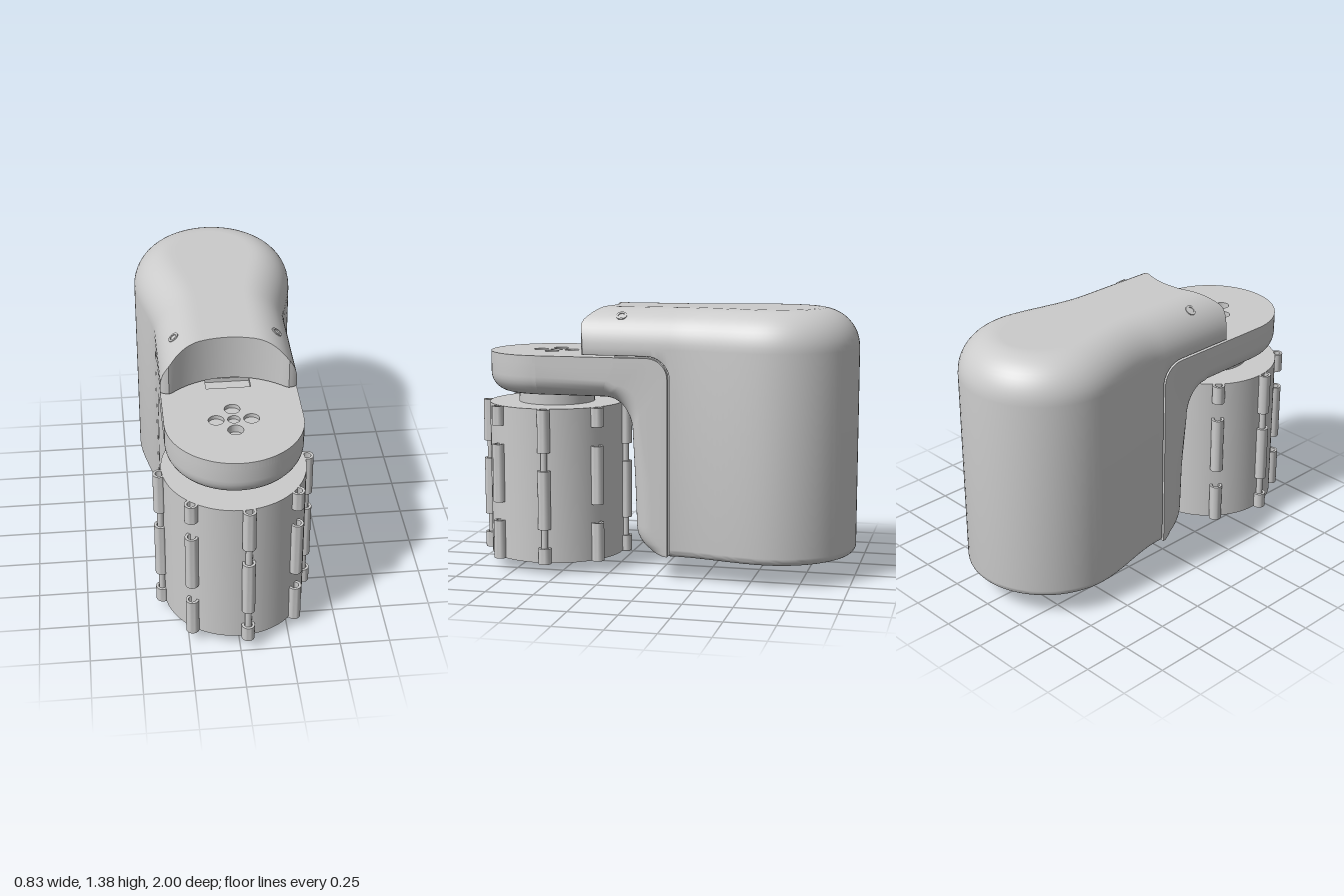
import * as THREE from 'three';
import { toCreasedNormals, mergeGeometries } from 'three/addons/utils/BufferGeometryUtils.js';

const grey = new THREE.MeshStandardMaterial({ color: 0xcccccc, side: THREE.DoubleSide });
const V = (x, y, z) => new THREE.Vector3(x, y, z);
const lerp = THREE.MathUtils.lerp;
const steps = (n) => Array.from({ length: n + 1 }, (_, i) => i / n);

function part(parent, name, geometry, x = 0, y = 0, z = 0) {
  const mesh = new THREE.Mesh(geometry, grey);
  mesh.name = name;
  mesh.position.set(x, y, z);
  parent.add(mesh);
  return mesh;
}

// Surface through rows of points; skip lists row gaps to leave open
function grid(rows, skip = []) {
  const n = rows[0].length, index = [];
  for (let i = 0; i < rows.length - 1; i++) {
    if (skip.includes(i)) continue;
    for (let j = 0; j < n - 1; j++) {
      const a = i * n + j, d = a + n;
      index.push(a, a + 1, d + 1, a, d + 1, d);
    }
  }
  const g = new THREE.BufferGeometry().setFromPoints(rows.flat());
  g.setIndex(index);
  return g;
}

const lathe = (pts, seg = 48, start = 0, len = Math.PI * 2) =>
  toCreasedNormals(new THREE.LatheGeometry(pts.map((p) => new THREE.Vector2(...p)), seg, start, len), 0.6);
const ring = (ro, ri, y0, y1, seg = 24) => lathe([[ri, y0], [ro, y0], [ro, y1], [ri, y1], [ri, y0]], seg);

// Rear housing: rounded shell with a hood reaching forward
const BACK = -0.587, SEAM = -0.09, TOP = 1.38, ROUND = 0.2, WALL = 0.04;

function hoodEnd(x) {
  const arc = 0.67 - Math.sqrt(0.168 - x * x);
  return Math.min(arc, 0.376 - 8 * Math.max(0, x - 0.29) ** 2);
}
function warp(p) {
  if (p.z > 0.03) p.z = 0.03 + (p.z - 0.03) * (hoodEnd(Math.abs(p.x)) - 0.03) / 0.35;
  return p;
}
function halfWidth(z) {
  const t = THREE.MathUtils.clamp((z - BACK) / (-0.1 - BACK), 0, 1);
  return lerp(0.413, 0.335, t * t * (3 - 2 * t));
}

function housing() {
  const half = [];
  const side = (z, yb) => {
    const slope = (halfWidth(z + 0.001) - halfWidth(z - 0.001)) / 0.002;
    const l = Math.hypot(1, slope);
    half.push({ x: halfWidth(z), z, nx: 1 / l, nz: -slope / l, yb });
  };
  steps(8).forEach((t) => side(lerp(0.38, 0.03, t), 1.15 - 0.005));
  steps(8).slice(1).forEach((t) => {
    const a = t * Math.PI / 2;
    side(0.03 - 0.12 * Math.sin(a), 1.03 + 0.115 * Math.cos(a));
  });
  const gap = half.length - 1;
  steps(16).forEach((t) => side(lerp(SEAM, BACK, t), 0.12));
  steps(20).slice(1).forEach((t) => {
    const s = Math.cos(t * Math.PI / 2), c = -Math.sin(t * Math.PI / 2);
    half.push({ x: 0.413 * s, z: BACK + 0.413 * c, nx: s, nz: c, yb: 0.12 });
  });

  const column = (c, sign) => {
    const rb = c.yb < 0.2 ? WALL : 0.004;
    const prof = [[WALL, Math.max(1.16, c.yb)], [WALL, c.yb]];
    steps(6).forEach((t) => {
      const a = t * Math.PI / 2;
      prof.push([rb * (1 - Math.sin(a)), c.yb + rb * (1 - Math.cos(a))]);
    });
    steps(12).forEach((t) => {
      const a = t * Math.PI / 2;
      prof.push([ROUND * (1 - Math.cos(a)), TOP - ROUND + ROUND * Math.sin(a)]);
    });
    return prof.map(([d, y]) => V(sign * (c.x - c.nx * d), y, c.z - c.nz * d));
  };
  const left = half.map((c) => column(c, 1)), right = half.map((c) => column(c, -1));
  const rows = [...right, ...left.slice(0, -1).reverse()];
  // Flat top between the two rounded shoulders
  const cap = half.map((_, i) => {
    const a = right[i].at(-1), b = left[i].at(-1);
    return steps(16).map((t) => a.clone().lerp(b, t));
  });
  const all = new Set([...rows, ...cap].flat());
  all.forEach(warp);
  // Concave front wall of the hood
  const arch = [...right[0].slice(2), ...cap[0], ...left[0].slice(2).reverse()];
  const sill = arch.map((p) => V(p.x, 1.145, p.z));
  return toCreasedNormals(mergeGeometries([
    grid(rows, [gap, rows.length - 2 - gap]), grid(cap), grid([sill, arch]),
  ]), 0.6);
}

// Bent arm: U-shaped sections swept from the plate down the housing front
function bracket(w, push) {
  const stations = [[0.61, 1.095, 0.61, 0.925], [0.2, 1.095, 0.28, 0.925], [0.2, 1.135, 0.27, 0.925]];
  steps(12).forEach((t) => {
    const s = Math.sin(t * Math.PI / 2), c = Math.cos(t * Math.PI / 2);
    stations.push([0.03 - 0.108 * s, 1.03 + 0.105 * c, 0.26 - 0.142 * s, 0.74 + 0.185 * c]);
  });
  stations.push([-0.078, 0.5, 0.108, 0.5]);
  steps(10).forEach((t) => {
    const s = Math.sin(t * Math.PI / 2), c = Math.cos(t * Math.PI / 2);
    stations.push([-0.078, 0.27 - 0.148 * s, -0.06 + 0.16 * c, 0.27 - 0.148 * s]);
  });
  return toCreasedNormals(grid(stations.map(([pz, py, qz, qy]) => {
    const P = V(0, py, pz), dir = V(0, qy - py, qz - pz), L = dir.length();
    dir.normalize();
    const r = Math.min(0.1, L * 0.9), pts = [[w, -push]];
    steps(8).forEach((t) => {
      const a = t * Math.PI / 2;
      pts.push([w - r + r * Math.cos(a), L - r + r * Math.sin(a) - push]);
    });
    const sec = [...pts, ...pts.map(([x, d]) => [-x, d]).reverse(), pts[0]];
    return sec.map(([x, d]) => P.clone().addScaledVector(dir, d).setX(x));
  })), 0.6);
}

// Top plate with bolt recesses and a slot (shape y becomes z)
function plate() {
  const s = new THREE.Shape();
  s.moveTo(-0.335, 0.2).lineTo(0.335, 0.2).lineTo(0.335, 0.61);
  s.absarc(0, 0.61, 0.335, 0, Math.PI, false);
  s.closePath();
  const holes = [[0, 0.6, 0.03], [0.085, 0.6, 0.038], [-0.085, 0.6, 0.038], [0, 0.515, 0.038], [0, 0.685, 0.038]];
  holes.forEach(([x, z, r]) => s.holes.push(new THREE.Path().absarc(x, z, r, 0, Math.PI * 2, true)));
  s.holes.push(new THREE.Path().moveTo(-0.11, 0.25).lineTo(-0.11, 0.335).lineTo(0.11, 0.335).lineTo(0.11, 0.25));
  const g = new THREE.ExtrudeGeometry(s, { depth: 0.04, bevelEnabled: false, curveSegments: 32 });
  return g.rotateX(Math.PI / 2);
}

export function createModel() {
  const model = new THREE.Group();
  model.name = 'drumUnit';

  part(model, 'housing', housing());
  for (const s of [-1, 1]) {
    const screw = part(model, 'hoodScrewHole', ring(0.028, 0.017, -0.02, 0.004), s * 0.255, 1.34, 0.175);
    screw.rotation.z = -s * 0.64;
  }

  // Arm
  const arm = new THREE.Group();
  arm.name = 'arm';
  model.add(arm);
  part(arm, 'bracket', bracket(0.335, 0));
  part(arm, 'sealingLip', bracket(0.31, 0.02));
  part(arm, 'armTopPlate', plate(), 0, 1.135, 0);
  const nose = [[0, 0.925], ...steps(8).map((t) => {
    const a = t * Math.PI / 2;
    return [0.235 + 0.1 * Math.sin(a), 1.025 - 0.1 * Math.cos(a)];
  }), [0.335, 1.095], [0, 1.095]];
  part(arm, 'armNose', lathe(nose, 40, -Math.PI / 2, Math.PI), 0, 0, 0.61);

  // Drum on its axle
  const drum = new THREE.Group();
  drum.name = 'drum';
  drum.position.z = 0.6;
  model.add(drum);
  part(drum, 'drumBody', lathe([[0, 0.08], [0.11, 0.08], [0.11, 0.06], [0.355, 0.06], [0.355, 0.865], [0, 0.865]], 64));
  part(drum, 'neck', new THREE.CylinderGeometry(0.2, 0.2, 0.08, 48), 0, 0.9, 0);
  part(drum, 'axleStub', lathe([[0, 0.04], [0.035, 0.04], [0.035, 0], [0.055, 0], [0.0625, 0.008], [0.0625, 0.085]], 32));

  // Hinge knuckles around the drum, in two alternating patterns
  const patterns = [
    [[0.06, 0.142], [0.242, 0.547], [0.642, 0.865]],
    [[0.06, 0.262], [0.36, 0.665], [0.765, 0.865]],
  ];
  for (let k = 0; k < 8; k++) {
    const a = THREE.MathUtils.degToRad(45 * k - 6);
    const x = 0.367 * Math.cos(a), z = 0.367 * Math.sin(a);
    patterns[k % 2].forEach(([y0, y1]) => part(drum, 'knuckle', ring(0.033, 0.02, y0, y1), x, 0, z));
    if (k % 2 === 0) part(drum, 'hingePin', new THREE.CylinderGeometry(0.017, 0.017, 0.7, 16), x, 0.46, z);
  }
  return model;
}
